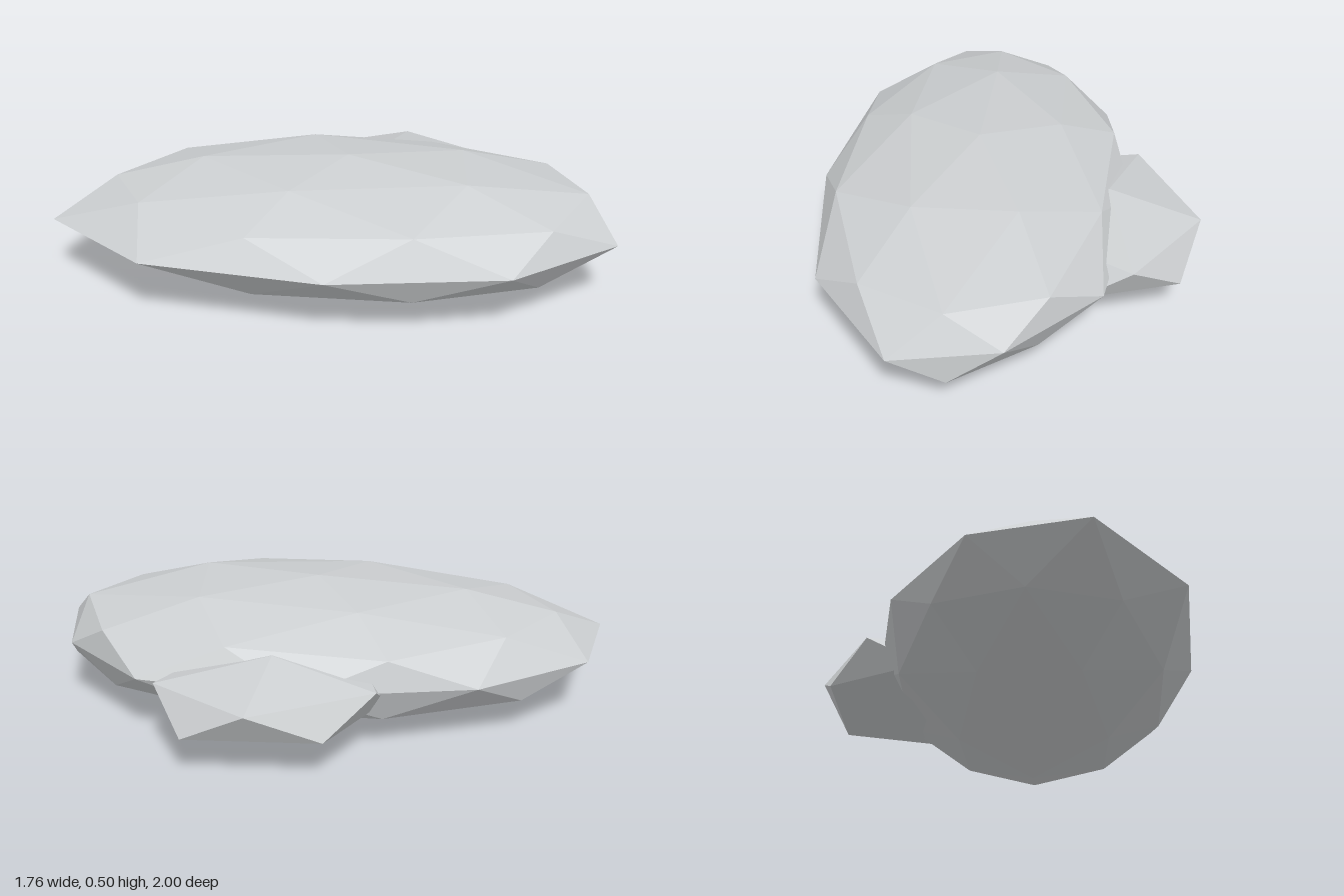
import * as THREE from 'three';

// Icosphere with a vertex pointing straight up, stretched and skewed on the ground plane.
// xAxis and zAxis are the [x, z] directions that the sphere's own X and Z map to.
function stone(name, material, detail, center, height, xAxis, zAxis, nudges) {
  const geo = new THREE.IcosahedronGeometry(1, detail);
  geo.rotateZ(Math.atan(2 / (1 + Math.sqrt(5))));
  geo.applyMatrix4(new THREE.Matrix4().set(
    xAxis[0], 0, zAxis[0], center[0],
    0, height, 0, center[1],
    xAxis[1], 0, zAxis[1], center[2],
    0, 0, 0, 1));

  // Chip or bulge single corners: [from, to]
  const pos = geo.attributes.position;
  const corner = new THREE.Vector3();
  for (let i = 0; i < pos.count; i++) {
    corner.fromBufferAttribute(pos, i);
    const nudge = nudges.find(([from]) => corner.distanceTo(new THREE.Vector3(...from)) < 0.06);
    if (nudge) pos.setXYZ(i, ...nudge[1]);
  }
  geo.computeVertexNormals();
  const mesh = new THREE.Mesh(geo, material);
  mesh.name = name;
  return mesh;
}

export function createModel() {
  const group = new THREE.Group();
  group.name = 'flatStones';
  const grey = new THREE.MeshStandardMaterial({ color: 0xcccfd1 });
  grey.name = 'stoneGrey';
  grey.flatShading = true;

  // Wide flat stone with an uneven rim
  group.add(stone('largeStone', grey, 1, [-0.025, 0.25, 0], 0.25,
    [0.685, -0.019], [0.405, 1], [
      // rim
      [[-0.755, 0.25, -0.80], [-0.83, 0.25, -0.86]],
      [[-0.827, 0.25, -0.29], [-0.88, 0.25, -0.30]],
      [[-0.551, 0.25, 0.327], [-0.57, 0.25, 0.34]],
      [[-0.10, 0.25, 0.82], [-0.11, 0.25, 0.84]],
      [[0.38, 0.25, 1.0], [0.386, 0.25, 0.995]],
      [[0.705, 0.25, 0.80], [0.67, 0.25, 0.71]],
      [[0.752, 0.25, 0.29], [0.76, 0.25, 0.25]],
      [[0.05, 0.25, -0.82], [0.05, 0.25, -0.80]],
      // upper side
      [[-0.56, 0.362, -0.845], [-0.55, 0.372, -0.79]],
      [[-0.17, 0.382, -0.81], [-0.17, 0.38, -0.78]],
      [[0.683, 0.362, 0.512], [0.695, 0.365, 0.49]],
      [[-0.29, 0.382, 0.51], [-0.30, 0.39, 0.535]],
      [[0.39, 0.463, 0.30], [0.385, 0.463, 0.27]],
      [[0.066, 0.463, 0.503], [0.07, 0.472, 0.51]],
      // underside
      [[0.29, 0.037, 0.497], [0.31, 0.018, 0.505]],
      [[0.51, 0.138, 0.845], [0.53, 0.13, 0.85]],
    ]));

  // Small stone half buried in its left side
  group.add(stone('smallStone', grey, 0, [0.48, 0.22, -0.18], 0.145,
    [-0.369, 0.168], [-0.253, -0.403], [
      [[0.593, 0.155, 0.209], [0.64, 0.162, 0.23]],
      [[0.615, 0.155, -0.51], [0.60, 0.16, -0.51]],
    ]));

  return group;
}
